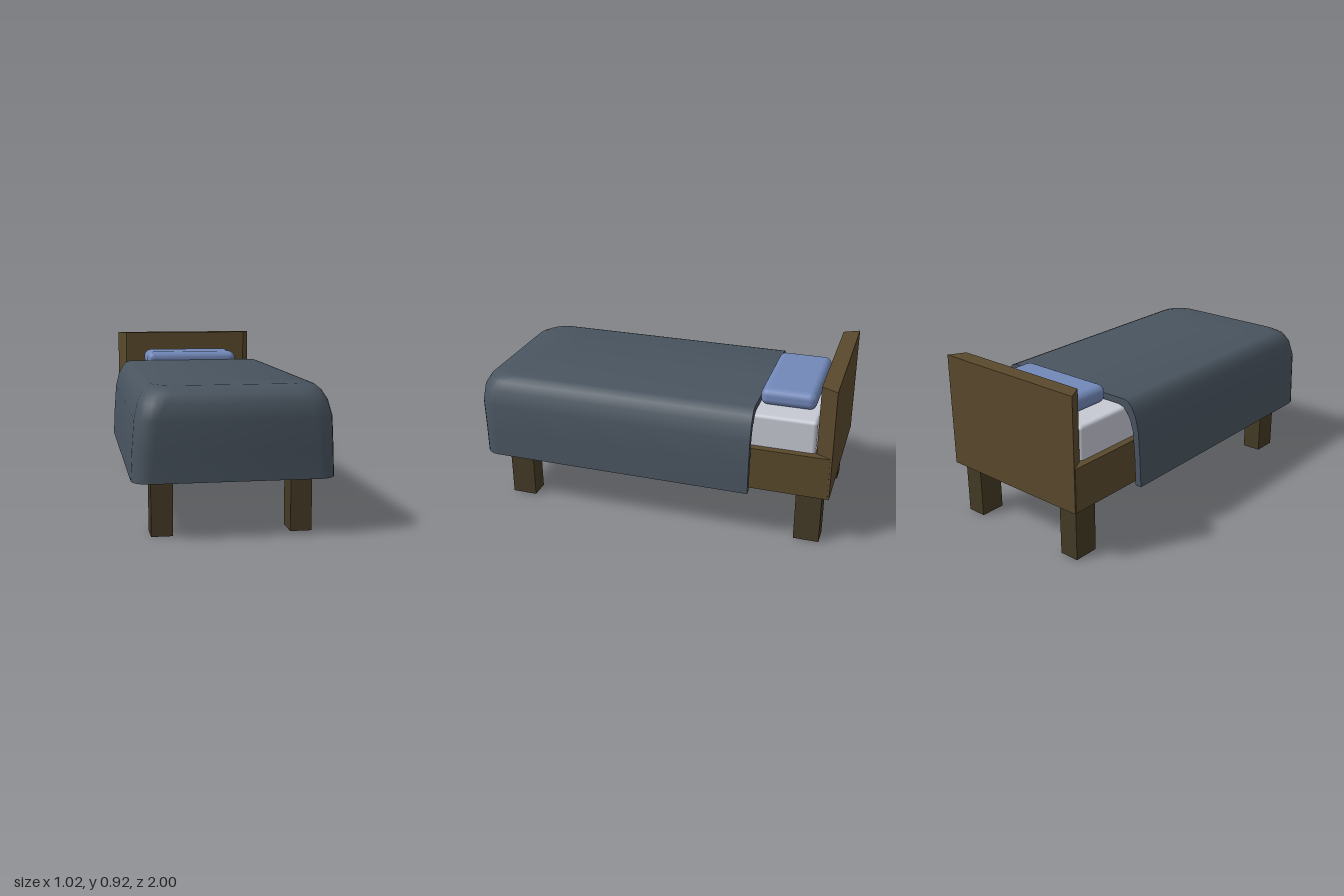
import * as THREE from 'three';
import { toCreasedNormals } from 'three/addons/utils/BufferGeometryUtils.js';
import { RoundedBoxGeometry } from 'three/addons/geometries/RoundedBoxGeometry.js';

const material = (name, color) => {
  const m = new THREE.MeshStandardMaterial({ color });
  m.name = name;
  return m;
};

const HEAD_EDGE = -0.575; // z where the blanket stops

// One U-shaped blanket ring: right side, rounded foot end, left side
function ring([y, w, f, r]) {
  const half = [[w, HEAD_EDGE]];
  const steps = 6;
  for (let i = 0; i <= steps; i++) {
    const a = (i / steps) * Math.PI / 2;
    half.push([w - r + r * Math.cos(a), f - r + r * Math.sin(a)]);
  }
  const mirrored = half.map(([x, z]) => [-x, z]).reverse();
  return [...half, ...mirrored].map(([x, z]) => [x, y, z]);
}

function blanketGeometry() {
  // Outer levels: height, half width, foot end, corner radius
  const outer = [
    [0.293, 0.51, 0.98, 0.09],
    [0.45, 0.503, 0.99, 0.1],
    [0.6, 0.492, 1.0, 0.1],
    [0.68, 0.472, 0.998, 0.12],
    [0.725, 0.448, 0.975, 0.13],
    [0.748, 0.425, 0.93, 0.13],
    [0.757, 0.4, 0.88, 0.13],
    [0.757, 0, 0.6, 0],
  ];
  // Inner levels: the same shape, inset by the cloth thickness
  const drop = [0, 0, 0.01, 0.025, 0.03, 0.035, 0.035, 0.035];
  const inner = outer.map(([y, w, f, r], k) =>
    [y - drop[k], Math.max(w - 0.035, 0), f - 0.035, r]);
  const rings = [...inner.slice().reverse(), ...outer].map(ring);
  const n = rings[0].length;
  const index = [];
  const quad = (a, b, c, d) => index.push(a, b, c, a, c, d);
  for (let k = 0; k < rings.length - 1; k++) {
    for (let j = 0; j < n - 1; j++) {
      const a = k * n + j;
      quad(a, a + n, a + n + 1, a + 1);
    }
  }
  // Thick edge facing the pillow
  const levels = outer.length;
  for (let k = 0; k < levels - 1; k++) {
    const o = (levels + k) * n, o2 = o + n;
    const i = (levels - 1 - k) * n, i2 = i - n;
    quad(o, i, i2, o2);
    const e = n - 1;
    quad(o + e, o2 + e, i2 + e, i + e);
  }
  const geo = new THREE.BufferGeometry();
  geo.setAttribute('position', new THREE.Float32BufferAttribute(rings.flat(2), 3));
  geo.setIndex(index);
  return toCreasedNormals(geo, Math.PI / 4);
}

// Pillow: rounded box with slightly pinched ends and a soft dip along the middle
function pillowGeometry() {
  const geo = new RoundedBoxGeometry(0.57, 0.1, 0.3, 5, 0.04);
  const p = geo.attributes.position;
  for (let i = 0; i < p.count; i++) {
    const end = Math.max(0, Math.abs(p.getX(i)) - 0.24) / 0.045;
    p.setY(i, p.getY(i) * (1 - 0.1 * end));
  }
  return geo;
}

export function createModel() {
  const wood = material('wood', 0x5a492c);
  const legWood = material('dark leg wood', 0x443a25);
  const blanketCloth = material('slate blanket', 0x49545f);
  const sheet = material('pale sheet', 0xc6c8d3);
  const pillowCloth = material('blue pillow', 0x7288b9);

  const bed = new THREE.Group();
  bed.name = 'bed';
  const add = (name, geo, mat, x = 0, y = 0, z = 0) => {
    const mesh = new THREE.Mesh(geo, mat);
    mesh.name = name;
    mesh.position.set(x, y, z);
    bed.add(mesh);
    return mesh;
  };

  // Frame
  add('bedFrame', new THREE.BoxGeometry(0.89, 0.24, 1.9), wood, 0, 0.415, -0.04);

  // Headboard, tapering in plan towards the front
  const plan = new THREE.Shape([
    [-0.4, 0.912], [0.4, 0.912], [0.447, 1], [-0.447, 1],
  ].map(([x, y]) => new THREE.Vector2(x, y)));
  const board = new THREE.ExtrudeGeometry(plan, { depth: 0.622, bevelEnabled: false });
  board.rotateX(-Math.PI / 2);
  add('headboard', board, wood, 0, 0.295, 0);

  // Legs
  for (const side of [-1, 1]) {
    for (const [name, z] of [['frontLeg', 0.79], ['backLeg', -0.89]]) {
      add(name, new THREE.BoxGeometry(0.11, 0.3, 0.14), legWood, side * 0.355, 0.15, z);
    }
  }

  // Bedding
  add('mattress', new RoundedBoxGeometry(0.81, 0.215, 1.77, 3, 0.02), sheet, 0, 0.6075, -0.02);
  add('pillow', pillowGeometry(), pillowCloth, 0, 0.76, -0.725);
  add('blanket', blanketGeometry(), blanketCloth);

  return bed;
}
